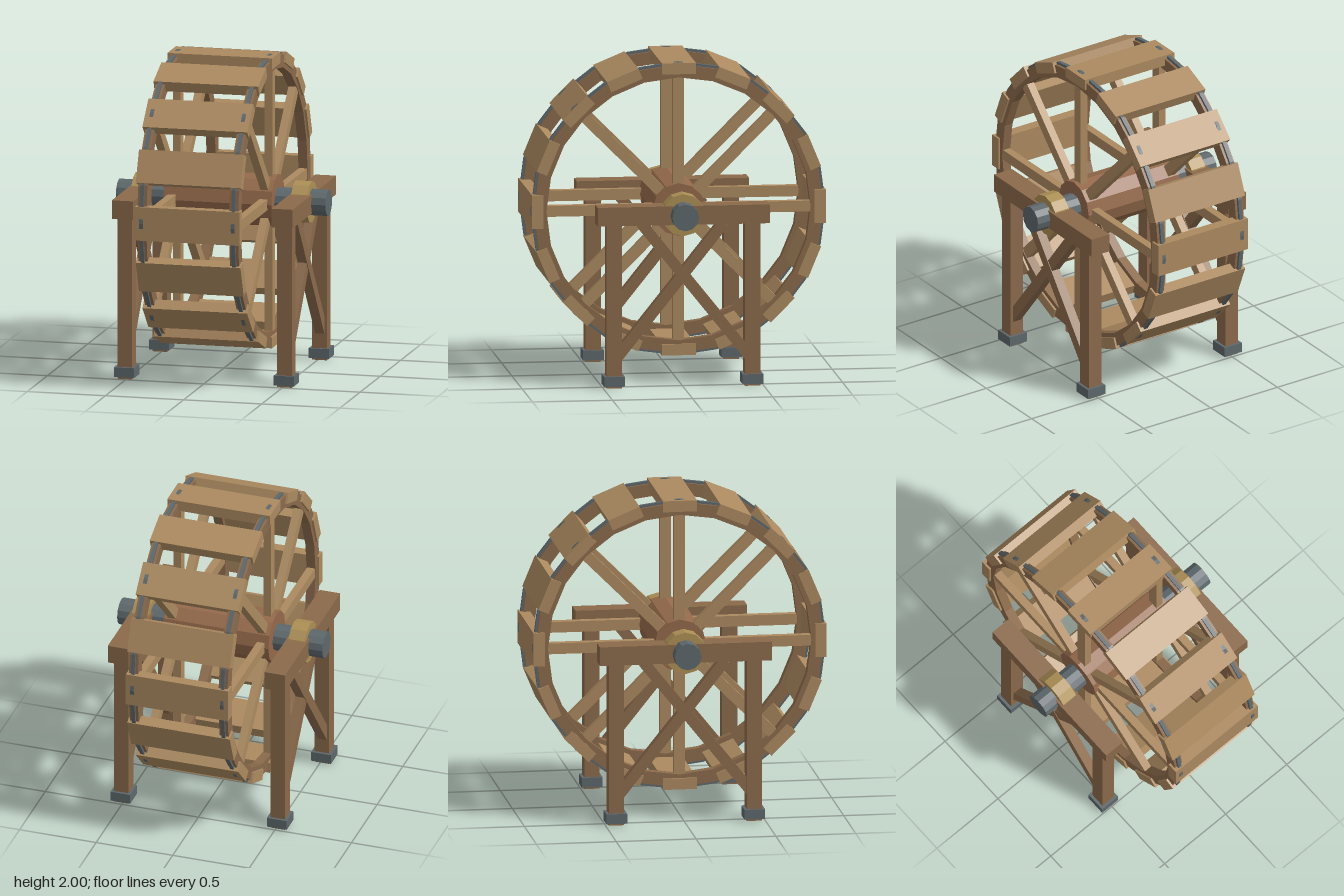
import * as THREE from 'three';

const material = (color) => new THREE.MeshStandardMaterial({ color, flatShading: true });
const darkWood = material(0x8b6a4b);
const lightWood = material(0xac8a60);
const drumWood = material(0x94694a);
const brass = material(0xac8f55);
const iron = material(0x5e686c);

const AXLE_Y = 1.08;
const RIM_X = 0.293;
const FRAME_X = 0.511;

function add(parent, name, geometry, mat, x = 0, y = 0, z = 0) {
  const mesh = new THREE.Mesh(geometry, mat);
  mesh.name = name;
  mesh.position.set(x, y, z);
  parent.add(mesh);
  return mesh;
}

const box = (w, h, d) => new THREE.BoxGeometry(w, h, d);

// Cylinder lying along x
const rod = (radius, length, sides) =>
  new THREE.CylinderGeometry(radius, radius, length, sides).rotateZ(Math.PI / 2);

// 24-sided flat ring around x, centred on its own width
function ring(outer, inner, width) {
  const circle = (r) => Array.from({ length: 24 }, (_, i) => {
    const a = (i / 24) * Math.PI * 2;
    return new THREE.Vector2(Math.cos(a) * r, Math.sin(a) * r);
  });
  const shape = new THREE.Shape(circle(outer));
  shape.holes.push(new THREE.Path(circle(inner)));
  return new THREE.ExtrudeGeometry(shape, { depth: width, bevelEnabled: false })
    .translate(0, 0, -width / 2).rotateY(Math.PI / 2);
}

function createWheel() {
  const wheel = new THREE.Group();
  wheel.name = 'wheel';
  wheel.position.y = AXLE_Y;

  // Hub and axle
  add(wheel, 'axle', rod(0.084, 1.34, 12), iron);
  add(wheel, 'hubDrum', rod(0.165, 0.69, 12), drumWood);

  for (const side of [-1, 1]) {
    // Wooden rim with a narrow iron tyre
    add(wheel, 'rim', ring(0.905, 0.825, 0.058), darkWood, side * RIM_X);
    add(wheel, 'ironBand', ring(0.921, 0.895, 0.024), iron, side * RIM_X);

    // Eight spokes
    for (let i = 0; i < 8; i++) {
      const spoke = box(0.05, 0.73, 0.068).translate(0, 0.47, 0);
      add(wheel, 'spoke', spoke, lightWood, side * RIM_X).rotation.x = (i * Math.PI) / 4;
    }
  }

  // Sixteen paddle boards across both rims
  for (let i = 0; i < 16; i++) {
    const board = box(0.67, 0.07, 0.212).translate(0, 0.882, 0);
    add(wheel, 'paddleBoard', board, lightWood).rotation.x = (i * Math.PI) / 8;
  }
  return wheel;
}

function createStand(side) {
  const stand = new THREE.Group();
  stand.name = side > 0 ? 'leftStand' : 'rightStand';
  stand.position.x = side * FRAME_X;

  add(stand, 'beam', box(0.135, 0.118, 1.076), darkWood, 0, AXLE_Y);
  add(stand, 'bearing', rod(0.132, 0.104, 12), brass, 0, AXLE_Y);

  for (const z of [-0.432, 0.432]) {
    add(stand, 'post', box(0.095, 1.03, 0.095), darkWood, 0, 0.515, z);
    add(stand, 'footPlate', box(0.13, 0.062, 0.13), iron, 0, 0.044, z);
  }

  // Crossed braces
  for (const dir of [-1, 1]) {
    const top = new THREE.Vector2(0.255 * dir, 1.02);
    const foot = new THREE.Vector2(-0.43 * dir, 0.165);
    const brace = add(stand, 'brace', box(0.06, top.distanceTo(foot), 0.068), darkWood,
      dir * 0.002, (top.y + foot.y) / 2, (top.x + foot.x) / 2);
    brace.rotation.x = Math.atan2(top.x - foot.x, top.y - foot.y);
  }
  return stand;
}

export function createModel() {
  const model = new THREE.Group();
  model.name = 'waterWheel';
  model.add(createWheel(), createStand(1), createStand(-1));
  return model;
}
